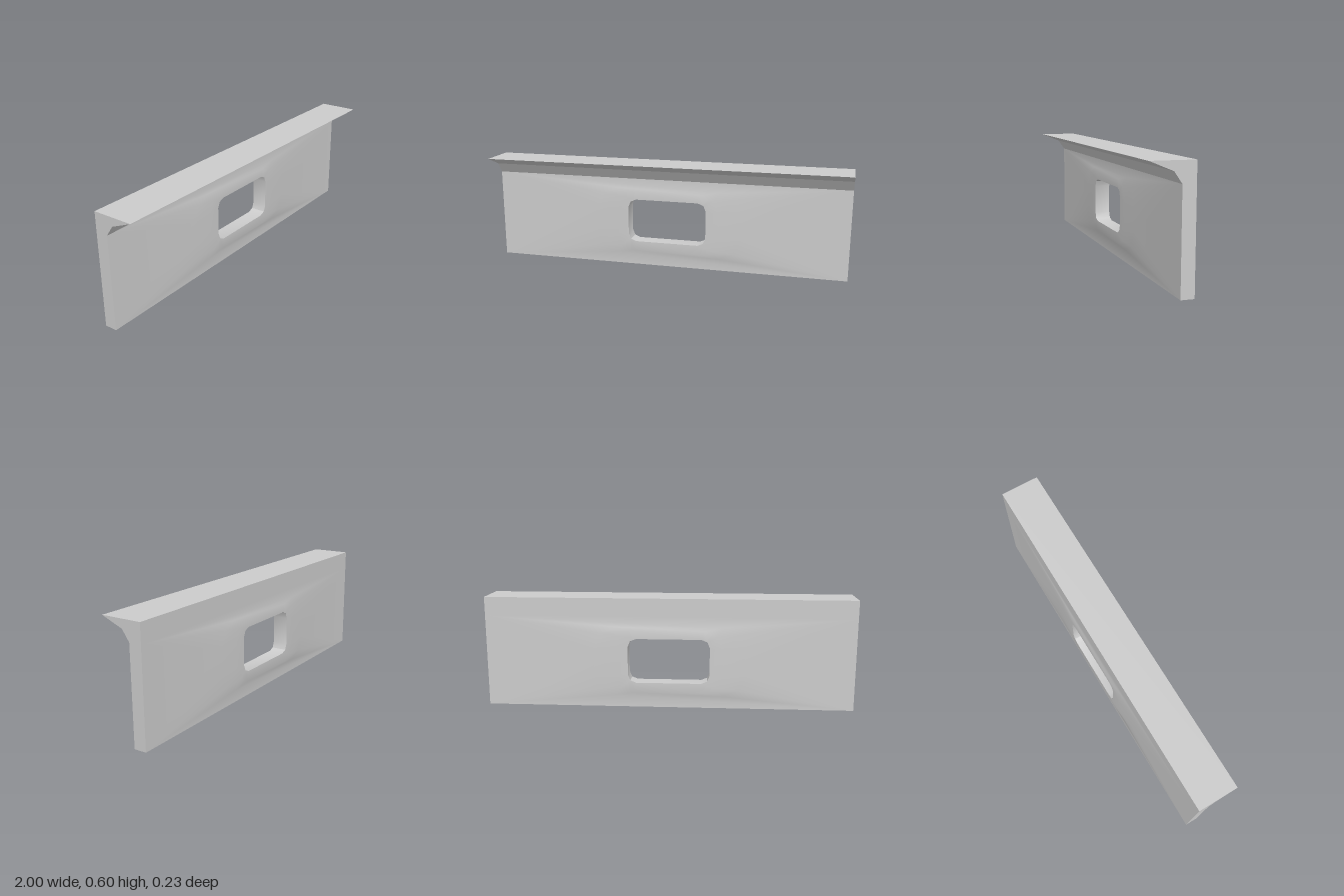
import * as THREE from 'three';
import { toCreasedNormals } from 'three/addons/utils/BufferGeometryUtils.js';

const BACK = -0.104, FRONT = -0.038, BULGE = 0.009, LIP_Y = 0.5;
const STEPS = 2; // segments per rounded corner

// Rounded rectangle loop, counterclockwise seen from the front
function ring(hx, y0, y1, r, z) {
  const cy = (y0 + y1) / 2, hy = (y1 - y0) / 2, points = [];
  [[1, 1], [-1, 1], [-1, -1], [1, -1]].forEach(([sx, sy], corner) => {
    for (let i = 0; i <= STEPS; i++) {
      const a = (corner + i / STEPS) * Math.PI / 2;
      points.push([sx * (hx - r) + r * Math.cos(a), cy + sy * (hy - r) + r * Math.sin(a), z]);
    }
  });
  return points;
}

// Closed skin through a cyclic chain of loops
function skin(rings) {
  const n = rings[0].length, index = [];
  rings.forEach((_, k) => {
    const next = (k + 1) % rings.length;
    for (let i = 0; i < n; i++) {
      const j = (i + 1) % n;
      const a = k * n + i, b = next * n + i, c = next * n + j, d = k * n + j;
      index.push(a, b, c, a, c, d);
    }
  });
  const geometry = new THREE.BufferGeometry();
  geometry.setAttribute('position', new THREE.Float32BufferAttribute(rings.flat(2), 3));
  geometry.setIndex(index);
  return toCreasedNormals(geometry, 0.7);
}

export function createModel() {
  const group = new THREE.Group();
  group.name = 'flangedPanel';
  const material = new THREE.MeshStandardMaterial({ color: 0xcccccc });

  const add = (name, geometry) => {
    const mesh = new THREE.Mesh(geometry, material);
    mesh.name = name;
    group.add(mesh);
  };

  // Wall with a window and a shallow swelling around it on both faces
  const face = (z, out) => [
    ring(0.222, 0.138, 0.382, 0.045, z + out),
    ring(0.29, 0.083, 0.427, 0.1, z + out),
    ring(0.41, 0.065, 0.445, 0.12, z),
    ring(1, 0, LIP_Y, 0, z),
  ];
  add('wall', skin([...face(FRONT, BULGE), ...face(BACK, -BULGE).reverse()]));

  // Overhanging top lip, its section drawn as (z, y) and swept along x
  const section = new THREE.Shape([
    [BACK, LIP_Y], [FRONT, LIP_Y], [0, 0.555], [0.113, 0.601], [BACK, 0.601],
  ].map(([z, y]) => new THREE.Vector2(-z, y)));
  const lip = new THREE.ExtrudeGeometry(section, { depth: 2, bevelEnabled: false });
  lip.translate(0, 0, -1).rotateY(Math.PI / 2);
  add('topLip', lip);

  return group;
}
